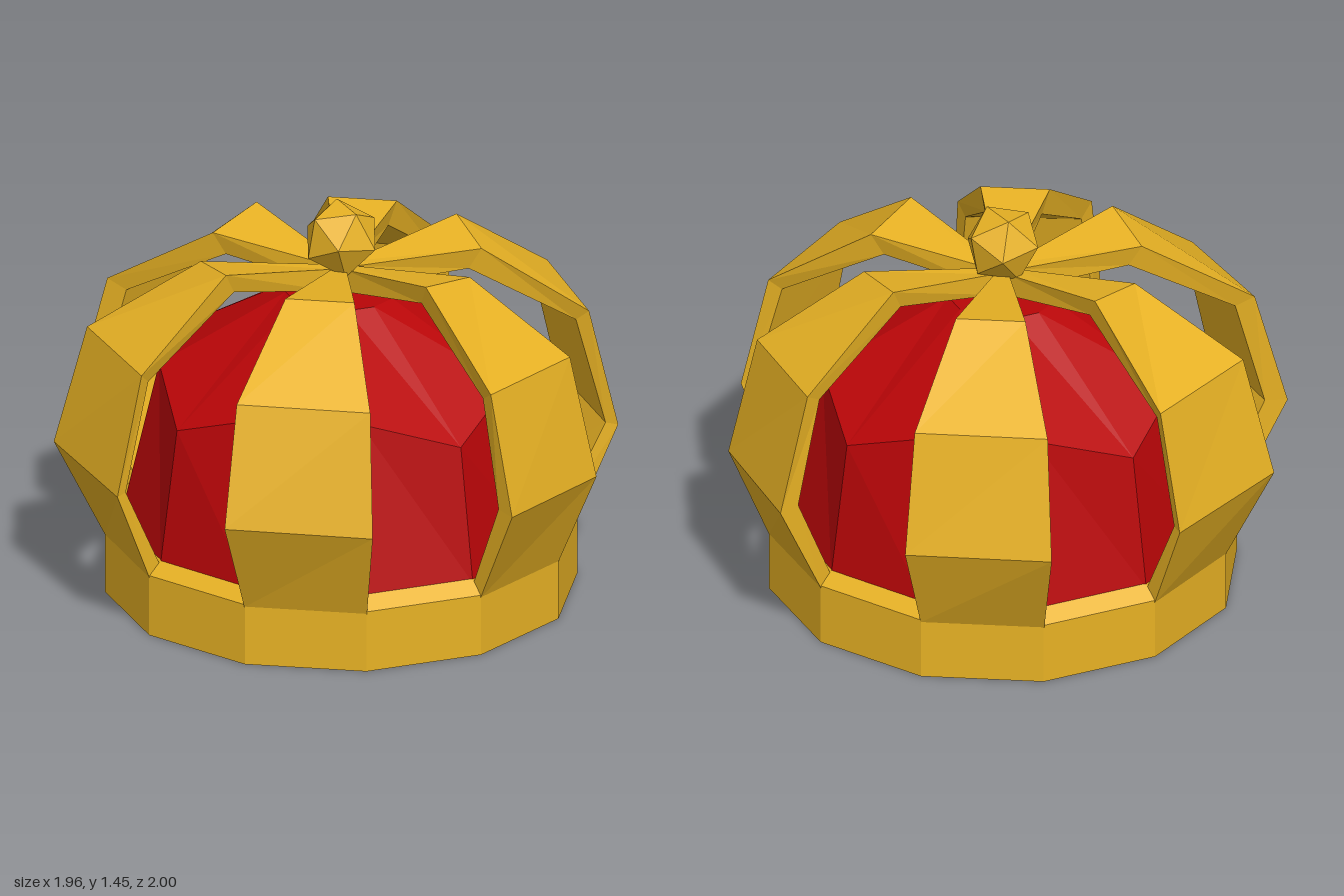
import * as THREE from 'three';

const mat = (name, color) => {
  const m = new THREE.MeshStandardMaterial({ color });
  m.name = name;
  return m;
};

// faceted look: split every triangle and recompute its normal
function facet(geometry) {
  const g = geometry.index ? geometry.toNonIndexed() : geometry;
  g.computeVertexNormals();
  return g;
}

const turned = (profile) => new THREE.LatheGeometry(
  profile.map(([r, y]) => new THREE.Vector2(r, y)), 12, Math.PI / 12);

// arch stations: outer radius, y, half width; inner radius, y, half width; skew; roll
const STATIONS = [
  [0.82, 0.22, 0.222, 0.77, 0.25, 0.205, 0, 0],
  [0.98, 0.58, 0.265, 0.92, 0.585, 0.243, 0.02, 0],
  [0.87, 1.02, 0.24, 0.82, 0.98, 0.208, 0.012, 0],
  [0.49, 1.285, 0.125, 0.45, 1.205, 0.1, 0, 0.023],
  [0.04, 1.225, 0.025, 0.04, 1.14, 0.025, 0, 0],
];

// strap of four-cornered cross-sections, its outer face a little uneven
function archGeometry(angle) {
  const side = Math.cos(angle) < 0 ? 1 : -1;
  const rings = STATIONS.map(([ro, yo, wo, ri, yi, wi, skew, roll]) => {
    const d = skew * side;
    const lift = d / 2 - roll * Math.sin(2 * angle);
    return [
      [-wo, yo - lift, ro - d], [wo, yo + lift, ro + d],
      [wi, yi + lift, ri], [-wi, yi - lift, ri],
    ];
  });
  const pos = [];
  for (let i = 0; i < rings.length - 1; i++) {
    for (let k = 0; k < 4; k++) {
      const n = (k + 1) % 4;
      const a = rings[i][k], b = rings[i][n], c = rings[i + 1][n], d = rings[i + 1][k];
      pos.push(...a, ...b, ...c, ...a, ...c, ...d);
    }
  }
  const g = new THREE.BufferGeometry();
  g.setAttribute('position', new THREE.Float32BufferAttribute(pos, 3));
  return facet(g);
}

export function createModel() {
  const gold = mat('gold', 0xe8b224);
  const red = mat('red velvet', 0xb80507);
  const brown = mat('brown lining', 0xb8701f);
  const group = new THREE.Group();
  group.name = 'crown';
  const add = (name, geometry, material) => {
    const mesh = new THREE.Mesh(geometry, material);
    mesh.name = name;
    mesh.position.x = 0.012;
    group.add(mesh);
    return mesh;
  };

  // twelve-sided band with a sloping upper ledge
  add('band', facet(turned([
    [0.68, 0], [0.85, 0], [0.85, 0.23], [0.78, 0.29], [0.66, 0.2], [0.68, 0],
  ])), gold);

  // shallow domed lining inside the band
  add('lining', facet(turned([[0, 0.27], [0.67, 0.17]])), brown);

  // velvet cap, its shoulder dipping at every third corner
  const capProfile = [[0.8, 0.26], [0.655, 0.875], [0.2, 1.13], [0, 1.13]];
  const cap = turned(capProfile);
  const p = cap.attributes.position;
  for (let i = 1; i <= 12; i += 3) {
    const v = i * capProfile.length + 1;
    p.setXYZ(v, p.getX(v) * 1.11, 0.76, p.getZ(v) * 1.11);
  }
  add('cap', facet(cap), red);

  // six arches meeting at the top
  for (let i = 0; i < 6; i++) {
    const angle = i * Math.PI / 3;
    add('arch', archGeometry(angle), gold).rotation.y = angle;
  }

  // faceted orb, turned so that one corner points up
  const orb = add('orb', facet(new THREE.IcosahedronGeometry(0.143, 0)), gold);
  orb.position.y = 1.33;
  const ax = new THREE.Vector3(-0.393, -0.207, 0.897).normalize();
  const az = ax.clone().cross(new THREE.Vector3(-0.471, 0.881, 0.038)).normalize();
  const ay = az.clone().cross(ax);
  orb.setRotationFromMatrix(new THREE.Matrix4().makeBasis(ax, ay, az));

  return group;
}
